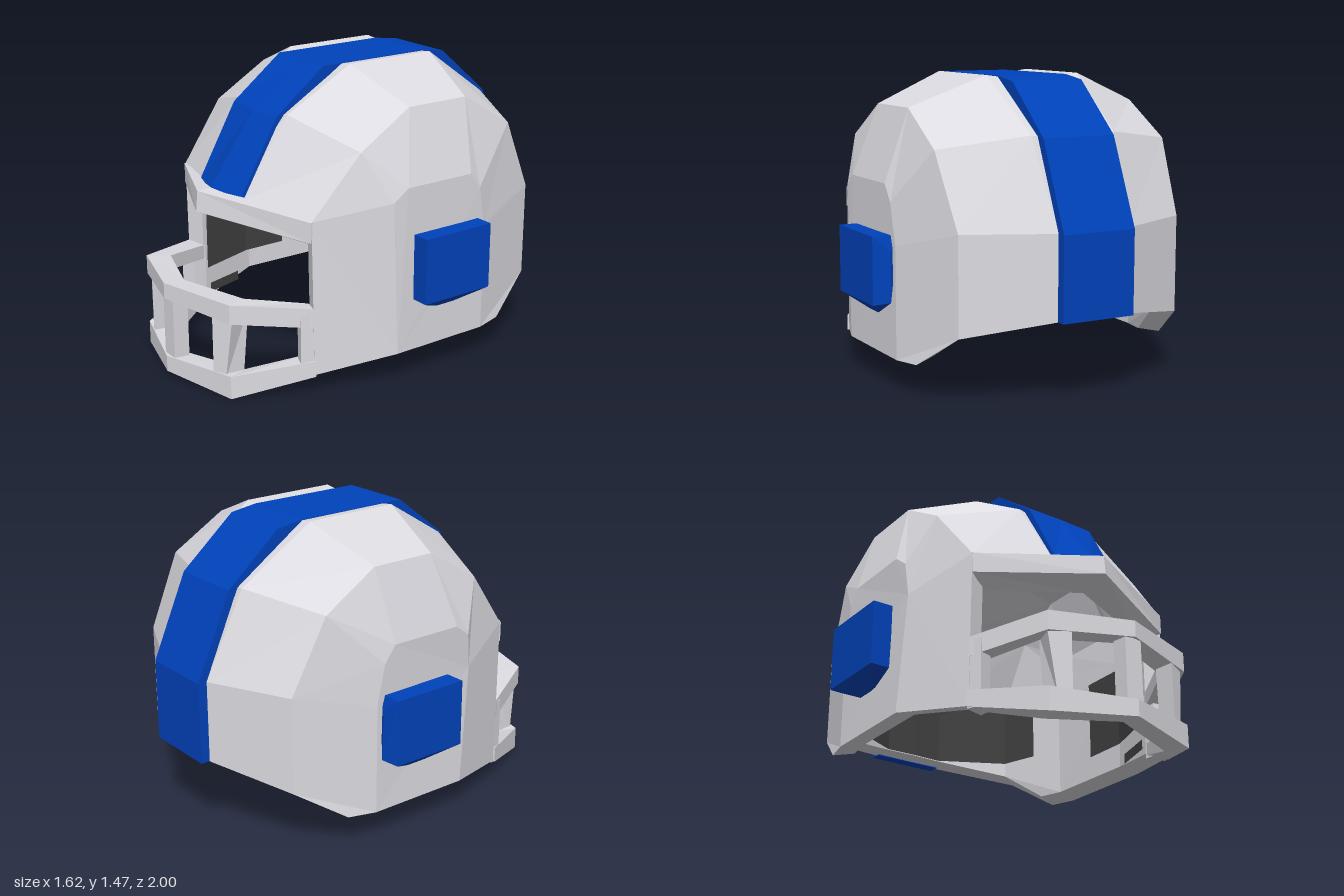
import * as THREE from 'three';
import { ConvexGeometry } from 'three/addons/geometries/ConvexGeometry.js';

const material = (name, color) =>
  new THREE.MeshStandardMaterial({ name, color, flatShading: true, side: THREE.DoubleSide });

// Flat-shaded geometry from a list of polygons, each fanned into triangles
function fromPolygons(polys) {
  const pos = [];
  for (const p of polys)
    for (let i = 1; i < p.length - 1; i++) pos.push(...p[0], ...p[i], ...p[i + 1]);
  const g = new THREE.BufferGeometry();
  g.setAttribute('position', new THREE.Float32BufferAttribute(pos, 3));
  g.computeVertexNormals();
  return g;
}

const flip = ([x, y, z]) => [-x, y, z];
const mirrored = (polys) => [...polys, ...polys.map((p) => p.map(flip).reverse())];

// Bar through matching cross-sections, closed at both ends
function loft(sections) {
  const polys = [[...sections[0]].reverse(), sections.at(-1)];
  for (let s = 0; s < sections.length - 1; s++) {
    const a = sections[s], b = sections[s + 1];
    a.forEach((p, i) => {
      const k = (i + 1) % a.length;
      polys.push([p, a[k], b[k], b[i]]);
    });
  }
  return fromPolygons(polys);
}

// Completes half a bar (sections from the centre to +x) with its mirror image
const symmetric = (half) => [...half.slice(1).reverse().map((s) => s.map(flip)), ...half];

// Faceted arcs of one half of the shell, running from brow to nape
const crown = [[0, 0.9, 0.7], [0, 1.24, 0.42], [0, 1.44, 0.1], [0, 1.44, -0.4],
  [0, 1.19, -0.77], [0, 0.8, -0.95], [0, 0.4, -0.95]];
const upper = [[0.19, 0.89, 0.66], [0.22, 1.27, 0.43], [0.25, 1.475, 0.09], [0.25, 1.475, -0.4],
  [0.22, 1.22, -0.77], [0.19, 0.8, -0.955], [0.19, 0.4, -0.955]];
const shoulder = [[0.57, 0.86, 0.54], [0.62, 1.16, 0.3], [0.615, 1.33, 0.02], [0.615, 1.33, -0.32],
  [0.62, 1.16, -0.6], [0.59, 0.8, -0.77], [0.59, 0.33, -0.77]];
const cheek = [[0.705, 0.75, 0.2], [0.715, 0.92, 0.18], [0.72, 0.98, 0.1], [0.72, 0.98, -0.28],
  [0.72, 0.9, -0.34], [0.715, 0.7, -0.38], [0.715, 0.16, -0.38]];
const jawFront = [0.575, 0.1, 0.53], jawSide = [0.72, 0.16, 0.15], jawBack = [0.68, 0.165, -0.52];

function shellGeometry() {
  const outer = [];
  const arcs = [crown, upper, shoulder, cheek];
  for (let r = 0; r < 3; r++)
    for (let j = 0; j < 6; j++)
      outer.push([arcs[r][j], arcs[r + 1][j], arcs[r + 1][j + 1], arcs[r][j + 1]]);
  outer.push([shoulder[0], jawFront, jawSide, cheek[0]]);
  outer.push([...cheek, jawSide].reverse());
  outer.push([shoulder[6], cheek[6], jawBack]);
  // Inner wall is the outer one drawn inwards
  const inset = ([x, y, z]) => [x * 0.85, y > 0.5 ? 0.5 + (y - 0.5) * 0.92 : y + 0.02, z * 0.93];
  const inner = outer.map((p) => p.map(inset).reverse());
  // Rim joins both walls along the open edge
  const edge = [crown[6], upper[6], shoulder[6], jawBack, cheek[6], jawSide, jawFront,
    shoulder[0], upper[0], crown[0]];
  const rim = edge.slice(1).map((p, i) => [edge[i], p, inset(p), inset(edge[i])]);
  return fromPolygons(mirrored([...outer, ...inner, ...rim]));
}

// Vertical band standing on a path of [x, z] points
const band = (path, y0, y1) => path.slice(1).map(([x, z], i) => {
  const [px, pz] = path[i];
  return [[px, y0, pz], [x, y0, z], [x, y1, z], [px, y1, pz]];
});

// Cage bar section: outer and inner [x, z], lower and upper y
const barSection = ([xo, zo], [xi, zi], lo, hi) =>
  [[xo, lo, zo], [xo, hi, zo], [xi, hi - 0.01, zi], [xi, lo + 0.01, zi]];

// Stripe section: outer and inner z, y, and how far its centre line juts forward
const stripeSection = ([zo, yo, zi, yi, peak]) => [
  [-0.1875, yo, zo], [0, yo, zo + peak], [0.1875, yo, zo],
  [0.1875, yi, zi], [0, yi, zi + peak], [-0.1875, yi, zi]];

export function createModel() {
  const model = new THREE.Group();
  model.name = 'helmet';
  const grey = material('shellGrey', 0xdcdbe1);
  const blue = material('stripeBlue', 0x0042ba);
  const dark = material('paddingDark', 0x414141);
  const add = (name, geometry, mat, parent = model) => {
    const mesh = new THREE.Mesh(geometry, mat);
    mesh.name = name;
    parent.add(mesh);
    return mesh;
  };

  add('shell', shellGeometry(), grey);

  // Pointed lip above the face opening
  add('browLip', loft(symmetric([
    [[0, 0.915, 0.69], [0, 0.91, 0.8], [0, 0.81, 0.81], [0, 0.78, 0.64]],
    [[0.57, 0.865, 0.52], [0.572, 0.86, 0.545], [0.572, 0.76, 0.545], [0.475, 0.72, 0.49]],
  ])), grey);

  // Raised centre stripe from brow to nape
  add('centreStripe', loft([
    [0.67, 0.905, 0.54, 0.86, 0.06], [0.47, 1.26, 0.4, 1.23, 0.01], [0.2, 1.468, 0.1, 1.42, 0],
    [-0.4, 1.47, -0.4, 1.42, 0], [-0.54, 1.45, -0.52, 1.34, 0], [-0.82, 1.21, -0.76, 1.18, 0],
    [-1, 0.8, -0.94, 0.8, 0], [-1, 0.4, -0.94, 0.4, 0],
  ].map(stripeSection)), blue);

  // Ear blocks, tapering to a point below
  for (const s of [1, -1]) {
    const pts = [[0.81, 0.745, 0.06], [0.81, 0.745, -0.335], [0.81, 0.42, 0.06], [0.81, 0.42, -0.335],
      [0.68, 0.745, 0.06], [0.68, 0.745, -0.335], [0.68, 0.42, 0.06], [0.72, 0.35, -0.09],
      [0.72, 0.35, -0.19], [0.73, 0.43, -0.36], [0.73, 0.67, -0.355]];
    add(s > 0 ? 'leftEarBlock' : 'rightEarBlock',
      new ConvexGeometry(pts.map(([x, y, z]) => new THREE.Vector3(s * x, y, z))), blue);
  }

  // Face cage: two horizontal bars
  const cage = new THREE.Group();
  cage.name = 'faceCage';
  model.add(cage);
  add('upperBar', loft(symmetric([
    barSection([0, 1], [0, 0.89], 0.41, 0.49),
    barSection([0.395, 0.88], [0.345, 0.77], 0.385, 0.48),
    barSection([0.575, 0.53], [0.48, 0.5], 0.34, 0.435),
  ])), grey, cage);
  add('lowerBar', loft(symmetric([
    barSection([0, 1], [0, 0.89], 0.03, 0.11),
    barSection([0.395, 0.88], [0.345, 0.77], 0.005, 0.12),
    barSection([0.585, 0.53], [0.48, 0.5], 0.095, 0.175),
  ])), grey, cage);

  // Upright posts between the bars, each end given as [x, z] corners
  const post = (bottom, top) => loft([
    bottom.map(([x, z]) => [x, 0.09, z]), top.map(([x, z]) => [x, 0.42, z])]);
  const centre = [[-0.045, 0.98], [0.045, 0.98], [0.045, 0.9], [-0.045, 0.9]];
  add('centrePost', post(centre, centre), grey, cage);
  for (const s of [1, -1]) {
    const side = s > 0 ? 'left' : 'right';
    const at = (corners) => corners.map(([x, z]) => [s * x, z]);
    add(side + 'Post', post(
      at([[0.29, 0.91], [0.35, 0.88], [0.35, 0.78], [0.29, 0.81]]),
      at([[0.29, 0.91], [0.39, 0.86], [0.35, 0.75], [0.29, 0.8]])), grey, cage);
    const end = at([[0.55, 0.59], [0.575, 0.52], [0.48, 0.49], [0.48, 0.56]]);
    add(side + 'EndPost', post(end, end), grey, cage);
  }

  // Dark padding lying on the inner wall
  add('backPadding', fromPolygons(mirrored(
    band([[0, -0.874], [0.16, -0.878], [0.492, -0.706], [0.55, -0.515]], 0.42, 0.77))), dark);
  add('sidePadding', fromPolygons(mirrored(
    band([[0.594, -0.07], [0.59, 0.17], [0.486, 0.475]], 0.29, 0.7))), dark);
  add('jawPadding', fromPolygons(mirrored(
    band([[0.55, 0.25], [0.486, 0.46]], 0.15, 0.2))), dark);

  return model;
}
